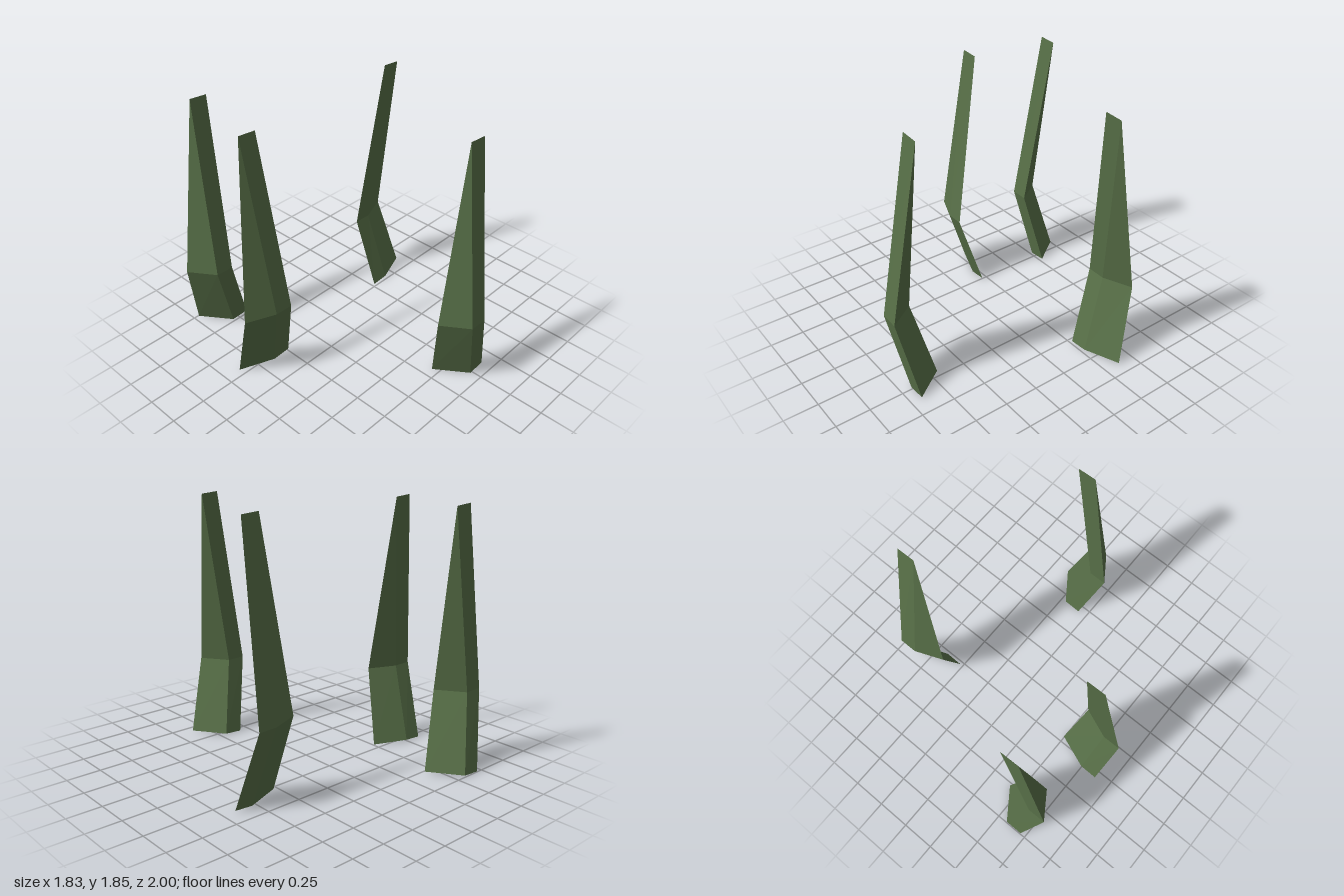
import * as THREE from 'three';

const W = 0.133; // blade thickness along x

// Each section lists the left back and left front corners as [x, z];
// the right corners sit one thickness further along x.
const bentForward = {
  base: [[0.075, 0.695], [0.233, 0.92]],
  mid: [[-0.05, 0.81], [0.078, 1.0]],
  tip: [0.152, 0.81],
};
const blades = [
  { name: 'frontBlade', shape: bentForward, dx: 0, dz: 0 },
  { name: 'backBlade', shape: bentForward, dx: -0.783, dz: -1.69 },
  {
    name: 'leftBlade', dx: 0, dz: 0,
    shape: {
      base: [[0.78, -0.37], [0.527, -0.273]],
      mid: [[0.697, -0.52], [0.49, -0.437]],
      tip: [0.655, -0.323],
    },
  },
  {
    name: 'rightBlade', dx: 0, dz: 0,
    shape: {
      base: [[-0.88, -0.305], [-0.628, -0.207]],
      mid: [[-0.917, -0.14], [-0.708, -0.055]],
      tip: [-0.75, -0.253],
    },
  },
];

// Four corners, counter-clockwise seen from above; drop tilts the right side
function ring([back, front], y, drop) {
  return [
    [back[0], y, back[1]],
    [front[0], y, front[1]],
    [front[0] + W, y + drop, front[1]],
    [back[0] + W, y + drop, back[1]],
  ];
}

function bladeGeometry({ base, mid, tip }) {
  const rings = [
    ring(base, 0, 0.009),
    ring(mid, 0.555, -0.003),
    ring([tip, tip], 1.853, -0.01), // closes to a thin edge
  ];
  const pos = [];
  const tri = (a, b, c) => pos.push(...a, ...b, ...c);
  for (let r = 0; r < 2; r++) {
    const lo = rings[r], hi = rings[r + 1];
    for (let i = 0; i < 4; i++) {
      const j = (i + 1) % 4;
      tri(lo[i], lo[j], hi[j]);
      // the narrow sides of the upper part end in a point
      if (r === 0 || i % 2 === 1) tri(lo[i], hi[j], hi[i]);
    }
  }
  // underside
  const [a, b, c, d] = rings[0];
  tri(a, d, c);
  tri(a, c, b);
  const geo = new THREE.BufferGeometry();
  geo.setAttribute('position', new THREE.Float32BufferAttribute(pos, 3));
  geo.computeVertexNormals();
  return geo;
}

export function createModel() {
  const group = new THREE.Group();
  group.name = 'grassTuft';
  const grass = new THREE.MeshStandardMaterial({ color: 0x587048 });
  grass.name = 'grassGreen';
  grass.flatShading = true;
  for (const { name, shape, dx, dz } of blades) {
    const blade = new THREE.Mesh(bladeGeometry(shape), grass);
    blade.name = name;
    blade.position.set(dx, 0, dz);
    group.add(blade);
  }
  return group;
}
